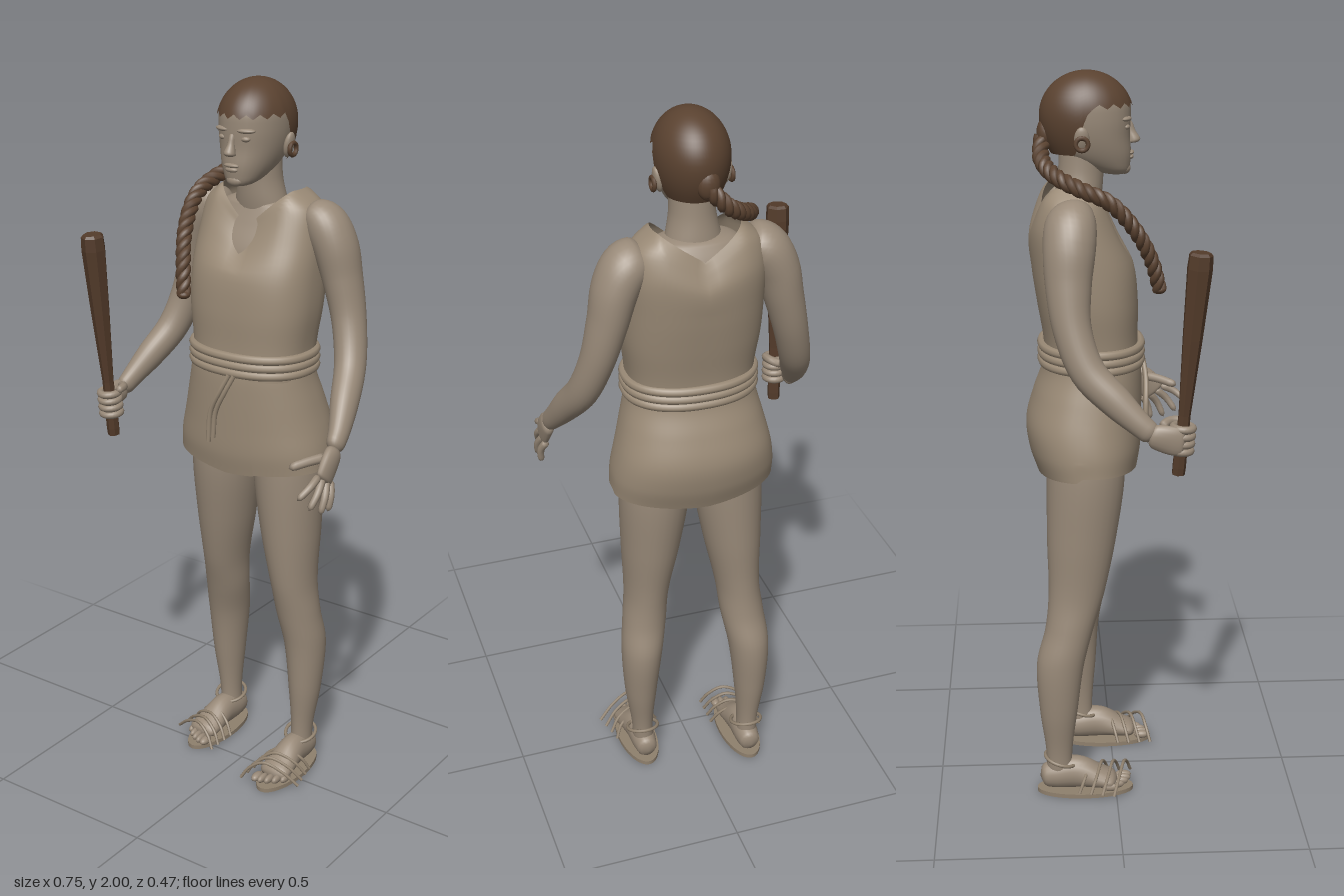
import * as THREE from 'three';
import { mergeVertices } from 'three/addons/utils/BufferGeometryUtils.js';

const V = (x, y, z) => new THREE.Vector3(x, y, z);
const mat = (name, color, side = THREE.FrontSide) => {
  const m = new THREE.MeshStandardMaterial({ color, side });
  m.name = name;
  return m;
};

// Smooth surface over a grid; fn(u, v) gives a point, u running around and v along
function grid(nu, nv, fn) {
  const pos = [], idx = [];
  for (let i = 0; i <= nv; i++)
    for (let j = 0; j <= nu; j++) pos.push(...fn(j / nu, i / nv).toArray());
  for (let i = 0; i < nv; i++)
    for (let j = 0; j < nu; j++) {
      const a = i * (nu + 1) + j, c = a + nu + 1;
      idx.push(a, a + 1, c, a + 1, c + 1, c);
    }
  let g = new THREE.BufferGeometry();
  g.setAttribute('position', new THREE.Float32BufferAttribute(pos, 3));
  g.setIndex(idx);
  g = mergeVertices(g, 1e-5);
  g.computeVertexNormals();
  return g;
}

// Point on a rounded oval, angle 0 facing front
const oval = (t, p) => {
  const s = Math.sin(t), c = Math.cos(t);
  return [Math.sign(s) * Math.abs(s) ** (2 / p), Math.sign(c) * Math.abs(c) ** (2 / p)];
};

// Skin over sections [x, y, z, halfWidth, halfDepth]; level rings unless ref is given
function loft(rows, { nu = 28, nv = 32, cap = 0, p = 2, ref = null, warp = null, start = 0, arc = Math.PI * 2, grow = 0 } = {}) {
  const path = new THREE.CatmullRomCurve3(rows.map(r => V(r[0], r[1], r[2])));
  const size = new THREE.CatmullRomCurve3(rows.map(r => V(r[3], r[4], 0)), false, 'catmullrom');
  return grid(nu, nv, (u, v) => {
    const c = path.getPoint(v), r = size.getPoint(v);
    const e = cap ? Math.min(1, v * cap, (1 - v) * cap) : 1;
    const k = Math.sqrt(Math.max(0, 1 - (1 - e) ** 2)) * (1 + grow * (u - 0.5));
    const [s, q] = oval(start + u * arc, p);
    let U = V(1, 0, 0), W = V(0, 0, 1);
    if (ref) {
      const T = path.getTangent(v);
      W = ref.clone().addScaledVector(T, -ref.dot(T)).normalize();
      U = T.clone().cross(W);
    }
    c.addScaledVector(U, s * r.x * k).addScaledVector(W, q * r.y * k);
    return warp ? warp(c) : c;
  });
}

const tube = (pts, r, n = 24, closed = false) =>
  new THREE.TubeGeometry(new THREE.CatmullRomCurve3(pts, closed), n, r, 8, closed);

export function createModel() {
  const root = new THREE.Group();
  const skin = mat('skin', 0x988978), cloth = mat('cloth', 0x9a8a76, THREE.DoubleSide);
  const leather = mat('sandal leather', 0x8f806d), wood = mat('club wood', 0x533b2a);
  const hairMat = mat('hair', 0x5a4230, THREE.DoubleSide);
  const add = (name, g, m) => {
    const o = new THREE.Mesh(g, m);
    o.name = name;
    root.add(o);
    return o;
  };
  const ball = (name, m, x, y, z, a, b, c) => {
    const o = add(name, new THREE.SphereGeometry(1, 16, 12), m);
    o.position.set(x, y, z);
    o.scale.set(a, b, c);
    return o;
  };
  const finger = (name, pts, r) =>
    add(name, loft(pts.map((q, i) => [...q, r - i * 0.0012, r - i * 0.0012]), { nu: 8, nv: 12, cap: 6, ref: V(0.9, 0.1, 0.4) }), skin);

  // Head, neck and chest
  add('head', loft([
    [0, 1.73, 0.012, 0.022, 0.022], [0, 1.748, -0.012, 0.045, 0.055], [0, 1.785, -0.045, 0.067, 0.092],
    [0, 1.83, -0.06, 0.081, 0.104], [0, 1.88, -0.066, 0.087, 0.112], [0, 1.93, -0.07, 0.084, 0.112],
    [0, 1.97, -0.07, 0.06, 0.08], [0, 1.985, -0.07, 0.03, 0.04]], { cap: 14, p: 2.15 }), skin);
  add('neck', loft([[0, 1.6, -0.105, 0.09, 0.06], [0, 1.68, -0.092, 0.072, 0.062],
    [0, 1.74, -0.085, 0.06, 0.06], [0, 1.83, -0.08, 0.058, 0.06]]), skin);
  add('chest', loft([[0, 1.4, -0.075, 0.16, 0.11], [0, 1.55, -0.095, 0.165, 0.11],
    [0, 1.63, -0.105, 0.155, 0.085], [0, 1.69, -0.1, 0.085, 0.055]], { cap: 10, p: 2.3 }), skin);
  add('nose', loft([[0, 1.812, 0.048, 0.013, 0.012], [0, 1.822, 0.054, 0.015, 0.017],
    [0, 1.845, 0.046, 0.009, 0.012], [0, 1.875, 0.038, 0.008, 0.01]], { nu: 12, nv: 14, cap: 6 }), skin);
  ball('upperLip', skin, 0, 1.789, 0.046, 0.023, 0.006, 0.009);
  ball('lowerLip', skin, 0, 1.778, 0.045, 0.019, 0.007, 0.009);
  ball('chin', skin, 0, 1.748, 0.03, 0.025, 0.016, 0.016);
  for (const s of [-1, 1]) {
    ball('eye', skin, s * 0.034, 1.858, 0.031, 0.014, 0.008, 0.011);
    ball('brow', skin, s * 0.036, 1.879, 0.032, 0.026, 0.007, 0.013).rotation.y = s * 0.3;
    ball('ear', skin, s * 0.09, 1.832, -0.085, 0.011, 0.034, 0.02).rotation.z = -s * 0.2;
    const ring = add('earring', new THREE.TorusGeometry(0.016, 0.006, 8, 16), hairMat);
    ring.position.set(s * 0.102, 1.822, -0.085);
    ring.rotation.y = Math.PI / 2;
  }

  // Hair cap: ragged fringe in front, long behind the ears
  add('hair', grid(72, 18, (u, v) => {
    const t = (u - 0.5) * Math.PI * 2, d = Math.abs(t);
    const drop = THREE.MathUtils.smoothstep(d, 1.45, 1.95);
    const edge = 1.914 + 0.006 * Math.sin(t * 18) * (1 - drop) - 0.125 * drop;
    const y = edge + (2 - edge) * Math.sin(v * Math.PI / 2);
    const h = y - 1.885;
    const k = h > 0 ? Math.sqrt(Math.max(0, 1 - (h / 0.115) ** 2)) : 1 - 26 * h * h;
    return V(Math.sin(t) * 0.098 * k, y, -0.07 + Math.cos(t) * 0.123 * k);
  }), hairMat);
  ball('hairKnot', hairMat, -0.01, 1.84, -0.178, 0.03, 0.04, 0.022);

  // Braid: three strands twisted around a path over the right shoulder
  const braid = new THREE.CatmullRomCurve3([V(-0.01, 1.83, -0.185), V(-0.06, 1.78, -0.188), V(-0.115, 1.745, -0.155),
    V(-0.153, 1.715, -0.09), V(-0.16, 1.68, -0.015), V(-0.145, 1.6, 0.055), V(-0.122, 1.52, 0.095), V(-0.106, 1.445, 0.116)]);
  for (let k = 0; k < 3; k++) {
    const pts = [];
    for (let i = 0; i <= 90; i++) {
      const f = i / 90, T = braid.getTangentAt(f);
      const A = V(0.9, 0.2, -0.4).cross(T).normalize(), B = T.clone().cross(A);
      const w = f * 44 + k * Math.PI * 2 / 3, r = 0.012 - 0.003 * f;
      pts.push(braid.getPointAt(f).addScaledVector(A, Math.cos(w) * r).addScaledVector(B, Math.sin(w) * r));
    }
    add('braidStrand', tube(pts, 0.0115, 160), hairMat);
  }
  ball('braidTip', hairMat, -0.106, 1.445, 0.116, 0.018, 0.012, 0.018);

  // Tunic with a V neckline front and back
  add('tunic', loft([
    [0, 1.22, -0.058, 0.17, 0.128], [0, 1.3, -0.062, 0.172, 0.127], [0, 1.4, -0.07, 0.184, 0.135],
    [0, 1.5, -0.083, 0.186, 0.136], [0, 1.6, -0.106, 0.183, 0.118], [0, 1.67, -0.11, 0.168, 0.095],
    [0, 1.715, -0.107, 0.115, 0.082]], {
    nu: 64, p: 2.5, warp: c => {
      const t = THREE.MathUtils.clamp((c.y - 1.5) / 0.215, 0, 1);
      c.y -= (c.z > -0.1 ? 0.1 : 0.075) * t * Math.max(0, 1 - Math.abs(c.x) / 0.11);
      return c;
    }
  }), cloth);

  // Wrapped skirt, its outer end overlapping at the front
  add('skirt', loft([
    [0, 0.94, -0.074, 0.228, 0.135], [0, 1.0, -0.08, 0.226, 0.15], [0, 1.07, -0.083, 0.214, 0.155],
    [0, 1.15, -0.072, 0.195, 0.145], [0, 1.22, -0.06, 0.178, 0.132], [0, 1.27, -0.06, 0.172, 0.126]], {
    nu: 64, p: 2.25, start: -0.45, arc: Math.PI * 2 + 0.75, grow: 0.05,
    warp: c => {
      const t = THREE.MathUtils.clamp((1.1 - c.y) / 0.16, 0, 1);
      c.y += t * (0.022 * Math.abs(c.x) / 0.23 + (c.z < -0.1 ? -0.012 : 0));
      return c;
    }
  }), cloth);
  ball('pelvis', skin, 0, 1.04, -0.08, 0.17, 0.09, 0.115);

  // Rope belt and its hanging ends
  for (let k = 0; k < 3; k++) {
    const pts = [];
    for (let i = 0; i < 32; i++) {
      const [s, c] = oval(i / 32 * Math.PI * 2, 2.25);
      pts.push(V(s * 0.174, 1.238 + k * 0.022, -0.06 + c * 0.133));
    }
    add('belt', tube(pts, 0.0125, 72, true), cloth);
  }
  for (const d of [0, 0.016])
    add('beltEnd', tube([V(0.015 + d, 1.235, 0.08), V(-0.01 + d, 1.185, 0.088), V(-0.042 + d, 1.12, 0.087),
      V(-0.052 + d, 1.03 + d, 0.085)], 0.007), cloth);

  for (const s of [-1, 1]) {
    const back = y => s > 0 ? 0 : -0.07 * Math.cos(Math.min(1, y / 0.9) * Math.PI / 2);
    // Leg
    add('leg', loft([
      [0.15, 0.04, -0.09, 0.03, 0.036], [0.153, 0.13, -0.092, 0.031, 0.037], [0.157, 0.25, -0.097, 0.045, 0.052],
      [0.153, 0.4, -0.1, 0.058, 0.066], [0.14, 0.5, -0.083, 0.062, 0.067], [0.13, 0.6, -0.073, 0.063, 0.077],
      [0.117, 0.75, -0.075, 0.081, 0.094], [0.105, 0.93, -0.08, 0.096, 0.106], [0.1, 1.08, -0.08, 0.085, 0.1]]
      .map(([x, y, z, a, b]) => [s * x, y, z + back(y), a, b]), { cap: 24, nv: 48 }), skin);

    // Foot, toes and sandal
    const dz = back(0);
    add('foot', loft([
      [0.15, 0.045, -0.145, 0.026, 0.03], [0.15, 0.052, -0.1, 0.035, 0.042], [0.151, 0.058, -0.04, 0.038, 0.047],
      [0.153, 0.043, 0.02, 0.045, 0.031], [0.155, 0.03, 0.075, 0.046, 0.018]]
      .map(([x, y, z, a, b]) => [s * x, y, z + dz, a, b]), { nu: 20, nv: 24, cap: 10, ref: V(0, 1, 0) }), skin);
    for (let i = 0; i < 5; i++)
      ball('toe', skin, s * (0.119 + i * 0.018), 0.026, 0.092 - i * i * 0.0025 + dz, i ? 0.0095 : 0.013, 0.012, 0.023);
    const sole = add('sandalSole', new THREE.CylinderGeometry(1, 1, 0.012, 32), leather);
    sole.position.set(s * 0.15, 0.006, -0.017 + dz);
    sole.scale.set(0.056, 1, 0.136);
    for (let i = 0; i < 4; i++) {
      const z = 0.105 - i * 0.032 + dz;
      add('sandalStrap', tube([V(s * 0.078, 0.02, z + 0.01), V(s * 0.1, 0.055, z), V(s * 0.142, 0.08, z - 0.012),
        V(s * 0.195, 0.06, z - 0.028), V(s * (0.24 - i * 0.008), 0.022, z - 0.045)], 0.0045), leather);
    }
    const loop = add('ankleStrap', new THREE.TorusGeometry(0.045, 0.005, 8, 28), leather);
    loop.position.set(s * 0.151, 0.1, -0.087 + dz);
    loop.rotation.x = Math.PI / 2 + 0.3;

    // Arm, swept down to the wrist
    add('arm', loft([
      [0.13, 1.655, -0.115, 0.035, 0.05], [0.178, 1.635, -0.118, 0.058, 0.066], [0.212, 1.58, -0.122, 0.06, 0.068],
      [0.236, 1.49, -0.126, 0.053, 0.06], [0.264, 1.38, -0.118, 0.046, 0.05], [0.294, 1.275, -0.08, 0.042, 0.046],
      [0.322, 1.195, -0.01, 0.037, 0.042], [0.343, 1.13, 0.05, 0.027, 0.032], [0.352, 1.095, 0.09, 0.021, 0.028]]
      .map(([x, y, z, ...r]) => [s * x, s < 0 ? y + 0.02 * THREE.MathUtils.smoothstep(z, -0.08, 0.08) : y, z, ...r]),
    { cap: 16, nv: 48, ref: V(0, 0.5, 1) }), skin);
  }

  // Open left hand
  add('leftPalm', loft([[0.35, 1.1, 0.075, 0.019, 0.026], [0.354, 1.075, 0.105, 0.018, 0.036],
    [0.356, 1.045, 0.13, 0.015, 0.038], [0.357, 1.028, 0.145, 0.012, 0.034]], { nu: 18, nv: 16, cap: 6, ref: V(0, 0.5, 1) }), skin);
  const tips = [[0.338, 1.005, 0.235], [0.355, 0.97, 0.205], [0.367, 0.95, 0.17], [0.366, 0.945, 0.132]];
  tips.forEach((tip, i) => {
    const base = [0.354, 1.052 - i * 0.01, 0.158 - i * 0.018];
    const mid = base.map((b, k) => (b + tip[k]) / 2 + (k ? 0.004 : 0.008));
    finger('leftFinger', [base, mid, tip], 0.0115);
  });
  finger('leftThumb', [[0.345, 1.085, 0.11], [0.318, 1.08, 0.155], [0.288, 1.07, 0.2]], 0.014);

  // Faceted wooden club, leaning slightly forward
  const low = V(-0.332, 1.01, 0.15), axis = V(-0.345, 1.59, 0.199).sub(low), len = axis.length();
  axis.normalize();
  const profile = [[0, 0], [0.017, 0], [0.018, 0.02], [0.016, 0.16], [0.026, 0.36], [0.033, 0.54], [0.031, 0.575], [0.025, len], [0, len]];
  const clubGeo = new THREE.LatheGeometry(profile.map(q => new THREE.Vector2(...q)), 7).toNonIndexed();
  clubGeo.computeVertexNormals();
  const club = add('club', clubGeo, wood);
  club.position.copy(low);
  club.quaternion.setFromUnitVectors(V(0, 1, 0), axis);

  // Right fist closed around the club
  add('rightPalm', loft([[-0.351, 1.122, 0.07, 0.02, 0.028], [-0.356, 1.115, 0.105, 0.018, 0.036],
    [-0.36, 1.107, 0.14, 0.013, 0.038], [-0.359, 1.104, 0.165, 0.01, 0.035]], { nu: 18, nv: 16, cap: 6, ref: V(0, 1, 0) }), skin);
  for (let i = 0; i < 4; i++) {
    const f = add('rightFinger', new THREE.TorusGeometry(0.025, 0.0105, 10, 24), skin);
    f.position.copy(low).addScaledVector(axis, 0.067 + i * 0.02);
    f.quaternion.setFromUnitVectors(V(0, 0, 1), axis);
  }
  finger('rightThumb', [[-0.338, 1.14, 0.105], [-0.31, 1.148, 0.13], [-0.303, 1.148, 0.165]], 0.013);

  return root;
}
